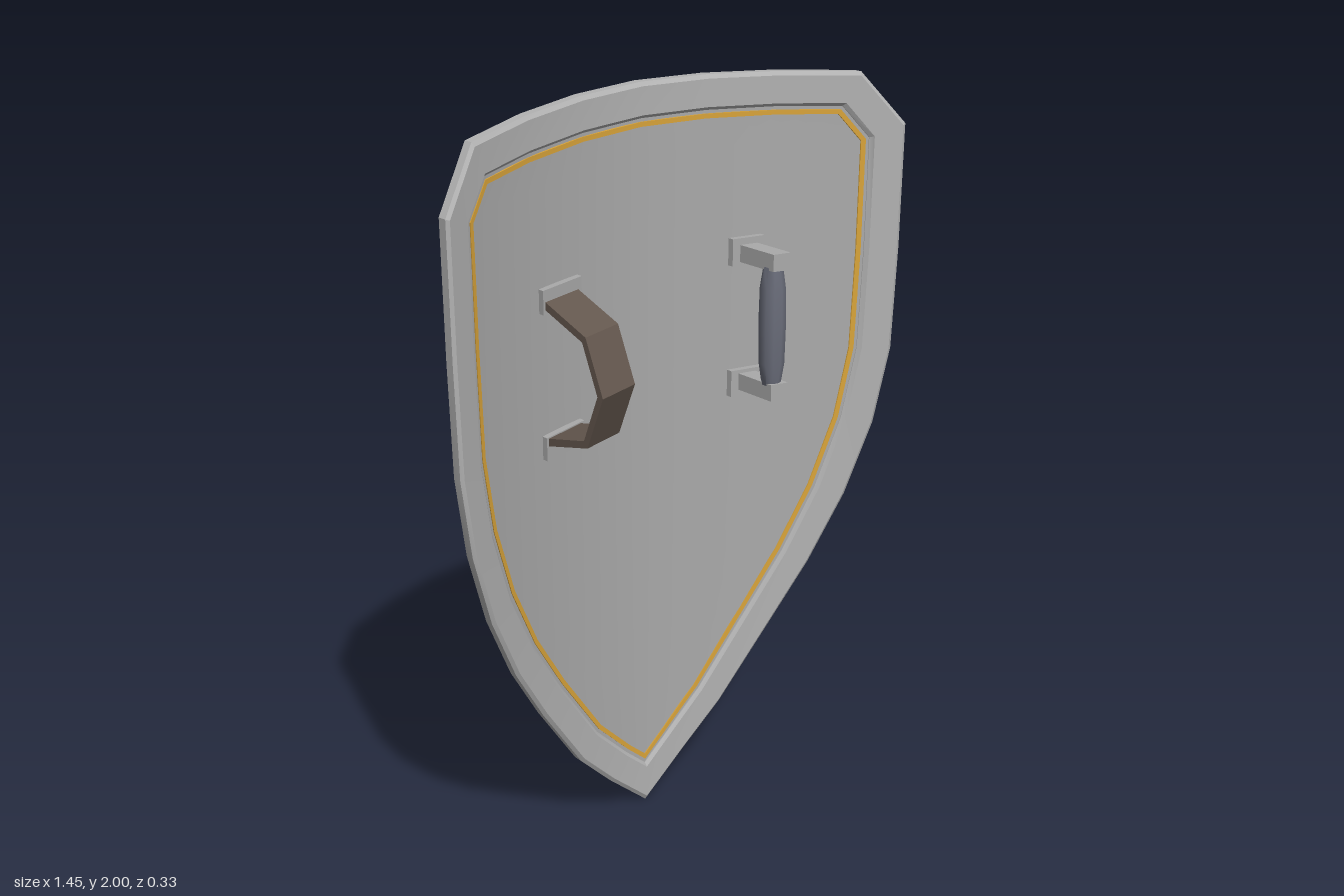
import * as THREE from 'three';
import { toCreasedNormals } from 'three/addons/utils/BufferGeometryUtils.js';

const mat = (name, color, side = THREE.FrontSide) => {
  const m = new THREE.MeshStandardMaterial({ color, side });
  m.name = name;
  return m;
};

// Depth of the shield's curved middle surface
const depthAt = (x) => -0.125 + 0.205 * Math.pow(Math.abs(x) / 0.725, 1.8);

// Right half of the outline, from the bottom tip to the top centre
const half = [[0, 0], [0.13, 0.115], [0.25, 0.235], [0.4, 0.445], [0.51, 0.615], [0.605, 0.805],
  [0.675, 1.01], [0.713, 1.22], [0.722, 1.5], [0.725, 1.83], [0.61, 1.97], [0.4, 1.986], [0.2, 1.996], [0, 2]];
const outline = [...half, ...half.slice(1, -1).reverse().map(([x, y]) => [-x, y])];

// Outline moved inward by d with mitred corners
function inset(d) {
  const n = outline.length;
  const normal = (a, b) => new THREE.Vector2(a[1] - b[1], b[0] - a[0]).normalize();
  return outline.map((p, i) => {
    const n1 = normal(outline[(i + n - 1) % n], p);
    const n2 = normal(p, outline[(i + 1) % n]);
    const k = d / (1 + n1.dot(n2));
    return [p[0] + (n1.x + n2.x) * k, p[1] + (n1.y + n2.y) * k];
  });
}

function build(positions, index, crease) {
  const g = new THREE.BufferGeometry();
  g.setAttribute('position', new THREE.Float32BufferAttribute(positions, 3));
  g.setIndex(index);
  g.computeVertexNormals();
  return crease ? toCreasedNormals(g, crease) : g;
}

// Closed section of [inset, depth] pairs swept around the outline
function ring(section) {
  const pos = [], idx = [], n = outline.length, m = section.length;
  section.forEach(([d, dz]) => inset(d).forEach(([x, y]) => pos.push(x, y, depthAt(x) + dz)));
  for (let j = 0; j < m; j++) {
    for (let i = 0; i < n; i++) {
      const i2 = (i + 1) % n, j2 = (j + 1) % m;
      const a = j * n + i, b = j * n + i2, c = j2 * n + i2, d = j2 * n + i;
      idx.push(a, b, c, a, c, d);
    }
  }
  return build(pos, idx, 0.4);
}

// One face of the curved panel, in rows from the tip upward
function panelFace(dz, flip) {
  const pos = [], idx = [], cols = 20;
  const rows = inset(0.05).slice(0, half.length);
  rows.forEach(([w, y]) => {
    for (let c = 0; c <= cols; c++) {
      const x = w * (2 * c / cols - 1);
      pos.push(x, y, depthAt(x) + dz);
    }
  });
  for (let r = 0; r < rows.length - 1; r++) {
    for (let c = 0; c < cols; c++) {
      const a = r * (cols + 1) + c, b = a + 1, d = a + cols + 1, e = d + 1;
      if (flip) idx.push(a, e, b, a, d, e);
      else idx.push(a, b, e, a, e, d);
    }
  }
  return build(pos, idx);
}

// Slides every vertex forward or back so a flat part follows the curve
function follow(g) {
  const p = g.attributes.position;
  for (let i = 0; i < p.count; i++) p.setZ(i, p.getZ(i) + depthAt(p.getX(i)));
  g.computeVertexNormals();
  return g;
}

function hexShape(r, Type = THREE.Shape) {
  const s = new Type();
  for (let i = 0; i < 6; i++) {
    const a = Math.PI / 2 + i * Math.PI / 3;
    s[i ? 'lineTo' : 'moveTo'](r * Math.cos(a), r * Math.sin(a));
  }
  s.closePath();
  return s;
}

export function createModel() {
  const steel = mat('steel', 0xaaaaaa);
  const rimSteel = mat('rim steel', 0xb2b2b2);
  const gold = mat('gold', 0xd9a43a);
  const leather = mat('leather', 0x65584f);
  const wrap = mat('grip wrap', 0x6a6d7a);

  const model = new THREE.Group();
  model.name = 'shield';
  const add = (name, g, m) => {
    const mesh = new THREE.Mesh(g, m);
    mesh.name = name;
    model.add(mesh);
    return mesh;
  };
  const box = (name, w, h, d, x, y, z, m) =>
    add(name, follow(new THREE.BoxGeometry(w, h, d).translate(x, y, z)), m);

  // Body
  add('panelFront', panelFace(0.01, false), steel);
  add('panelBack', panelFace(-0.01, true), steel);
  add('rim', ring([[0, -0.012], [0, 0.012], [0.01, 0.02], [0.08, 0.02], [0.088, 0.012],
    [0.088, -0.012], [0.08, -0.02], [0.01, -0.02]]), rimSteel);
  add('goldTrim', ring([[0.097, -0.013], [0.097, 0.013], [0.109, 0.013], [0.109, -0.013]]), gold);

  // Arm strap with its two mounting plates
  for (const y of [1.54, 1.17]) box('strapPlate', 0.145, 0.06, 0.03, -0.297, y, 0.012, steel);
  const outer = [[1.55, 0], [1.49, 0.175], [1.355, 0.235], [1.215, 0.175], [1.17, 0]];
  const inner = [[1.19, 0], [1.23, 0.162], [1.355, 0.215], [1.475, 0.162], [1.53, 0]];
  const strapShape = new THREE.Shape([...outer, ...inner].map(([y, z]) => new THREE.Vector2(-z, y)));
  const strap = new THREE.ExtrudeGeometry(strapShape, { depth: 0.124, bevelEnabled: false });
  strap.rotateY(Math.PI / 2).translate(-0.362, 0, 0);
  add('armStrap', follow(strap), leather);

  // Hand grip on two brackets
  for (const s of [-1, 1]) {
    box('gripPlate', 0.09, 0.072, 0.03, 0.31, 1.358 + s * 0.178, 0.012, steel);
    box('gripBracket', 0.048, 0.045, 0.148, 0.31, 1.358 + s * 0.174, 0.076, steel);
  }
  const profile = [[0, -0.16], [0.025, -0.16], [0.034, -0.1], [0.036, 0], [0.034, 0.1], [0.025, 0.16], [0, 0.16]]
    .map(([r, y]) => new THREE.Vector2(r, y));
  const grip = toCreasedNormals(new THREE.LatheGeometry(profile, 10), 0.8);
  add('handGrip', grip, wrap).position.set(0.31, 1.358, 0.038);

  // Tapered ridge down the back
  const ridge = new THREE.BoxGeometry(0.06, 1.3, 0.022);
  const p = ridge.attributes.position;
  for (let i = 0; i < p.count; i++) if (p.getY(i) < 0) p.setX(i, p.getX(i) * 0.65);
  ridge.computeVertexNormals();
  add('backRidge', ridge, steel).position.set(0, 0.98, -0.14);

  // Hexagonal boss at the top of the ridge
  const hex = hexShape(0.089);
  hex.holes.push(hexShape(0.06, THREE.Path));
  const boss = new THREE.ExtrudeGeometry(hex, { depth: 0.025, bevelSize: 0.01, bevelThickness: 0.01, bevelSegments: 1 });
  add('bossRing', boss.rotateY(Math.PI), steel).position.set(0, 1.71, -0.13);
  const core = new THREE.ExtrudeGeometry(hexShape(0.065), { depth: 0.02, bevelEnabled: false });
  add('bossCore', core.rotateY(Math.PI), steel).position.set(0, 1.71, -0.13);

  return model;
}
